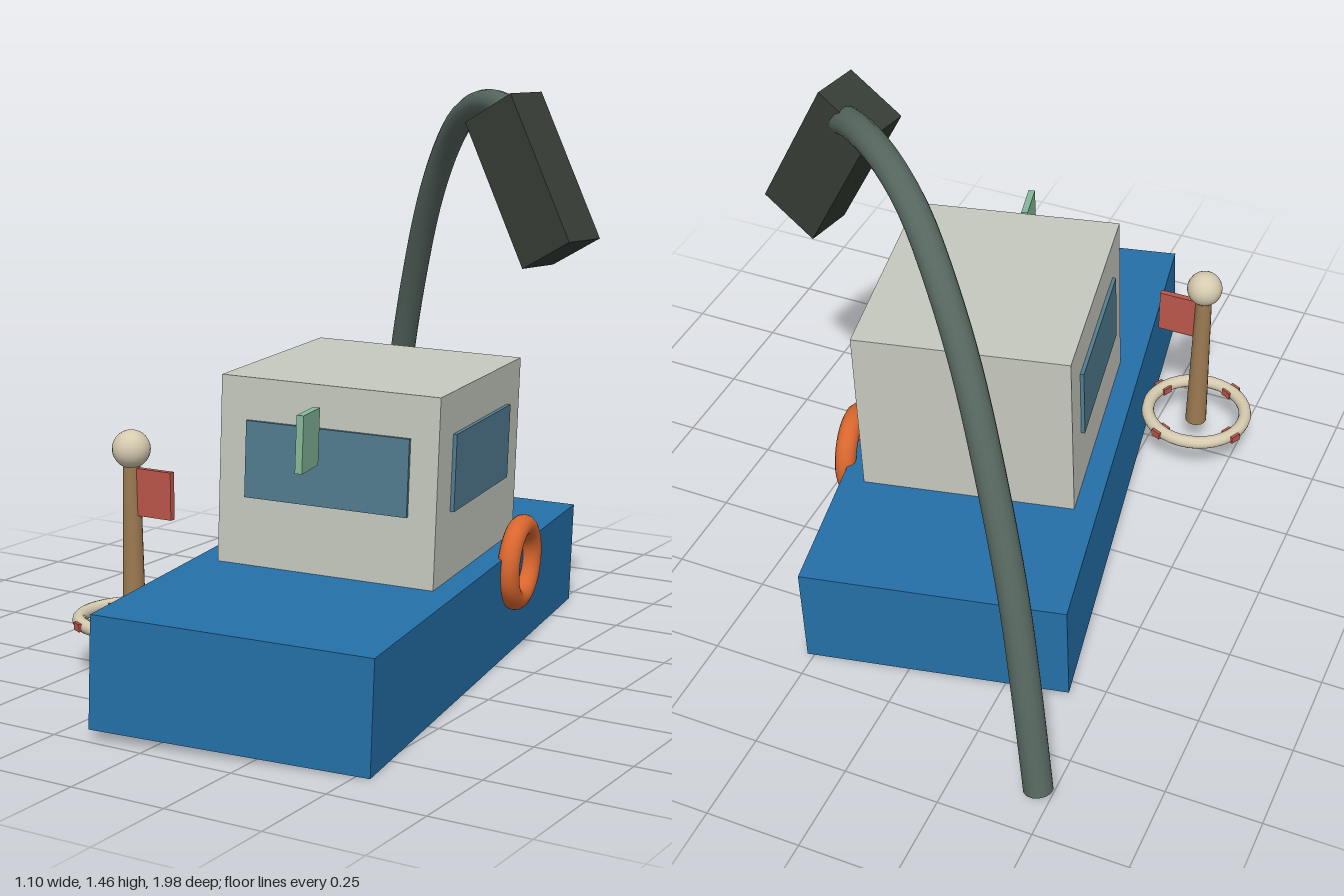
import * as THREE from 'three';

const mat = (name, color) => {
  const m = new THREE.MeshStandardMaterial({ color });
  m.name = name;
  return m;
};

function add(parent, name, geometry, material, pos = [0, 0, 0], rot = [0, 0, 0]) {
  const mesh = new THREE.Mesh(geometry, material);
  mesh.name = name;
  mesh.position.set(...pos);
  mesh.rotation.set(...rot);
  parent.add(mesh);
  return mesh;
}

const box = (w, h, d) => new THREE.BoxGeometry(w, h, d);

export function createModel() {
  const blue = mat('hull blue', 0x2470a8);
  const white = mat('cabin off-white', 0xc6c9bf);
  const glass = mat('window blue grey', 0x527c90);
  const orange = mat('life ring orange', 0xd9662e);
  const steel = mat('arm grey green', 0x56665f);
  const dark = mat('lamp charcoal', 0x363d35);
  const wood = mat('post brown', 0x9c7a52);
  const cream = mat('float cream', 0xd6cbb0);
  const red = mat('flag red', 0xbc574b);
  const green = mat('sign green', 0x86b99b);

  const model = new THREE.Group();
  model.name = 'harbourBoat';

  // Boat, turned and heeled slightly to its left
  const boat = new THREE.Group();
  boat.name = 'boat';
  boat.position.set(0.057, 0.0135, 0.155);
  boat.rotation.set(0, 0.17, -0.038);
  model.add(boat);
  add(boat, 'hull', box(0.7, 0.277, 1.577), blue, [0, 0.1385, 0]);

  const cabinZ = -0.085, cabinW = 0.575, cabinD = 0.637;
  add(boat, 'cabin', box(cabinW, 0.48, cabinD), white, [0, 0.515, cabinZ]);

  // Windows: one in front, one on each side
  add(boat, 'frontWindow', box(0.43, 0.195, 0.02), glass, [0, 0.55, cabinZ + cabinD / 2]);
  for (const s of [-1, 1]) {
    add(boat, s > 0 ? 'leftWindow' : 'rightWindow', box(0.02, 0.195, 0.43), glass,
      [s * cabinW / 2, 0.55, cabinZ]);
  }

  add(boat, 'lifeRing', new THREE.TorusGeometry(0.097, 0.029, 14, 32), orange,
    [0.362, 0.245, -0.236], [0, Math.PI / 2, 0]);

  // Small sign plate ahead of the cabin
  add(model, 'signPlate', box(0.018, 0.142, 0.112), green, [0.138, 0.655, 0.502], [0, 0.21, -0.04]);

  // Marker post with float ring, ball and flag
  const marker = new THREE.Group();
  marker.name = 'markerPost';
  marker.position.set(-0.39, 0, 0.5);
  model.add(marker);
  add(marker, 'post', new THREE.CylinderGeometry(0.022, 0.03, 0.44, 16), wood, [0, 0.33, 0]);
  add(marker, 'ball', new THREE.SphereGeometry(0.049, 20, 14), cream, [0, 0.578, 0]);
  add(marker, 'flag', box(0.115, 0.122, 0.016), red, [0.068, 0.47, 0]);
  add(marker, 'floatRing', new THREE.TorusGeometry(0.14, 0.018, 12, 36), cream,
    [0, 0.138, 0], [Math.PI / 2, 0, 0]);
  for (let i = 0; i < 4; i++) {
    const a = 0.47 + i * Math.PI / 2;
    add(marker, 'ringBand', box(0.044, 0.02, 0.03), red,
      [0.14 * Math.cos(a), 0.138, 0.14 * Math.sin(a)], [0, -a, 0]);
  }

  // Curved lamp arm with closed ends
  const r = 0.037;
  const path = new THREE.CatmullRomCurve3([
    [-0.497, 0.115, -0.955], [-0.45, 0.37, -0.915], [-0.39, 0.63, -0.86],
    [-0.3, 0.9, -0.78], [-0.2, 1.125, -0.69], [-0.1, 1.28, -0.605],
    [0, 1.373, -0.515], [0.1, 1.415, -0.43], [0.2, 1.42, -0.345],
    [0.29, 1.395, -0.265], [0.365, 1.35, -0.2],
  ].map((p) => new THREE.Vector3(...p)));
  add(model, 'lampArm', new THREE.TubeGeometry(path, 40, r, 14), steel);
  for (const t of [0, 1]) {
    const cap = add(model, 'armEnd', new THREE.CircleGeometry(r, 14), steel);
    const dir = path.getTangentAt(t).multiplyScalar(t ? 1 : -1);
    cap.position.copy(path.getPointAt(t));
    cap.quaternion.setFromUnitVectors(new THREE.Vector3(0, 0, 1), dir);
  }

  // Lamp head
  add(model, 'lampHead', box(0.168, 0.413, 0.128), dark, [0.375, 1.238, -0.2], [0, -0.2, 0.488]);

  return model;
}
